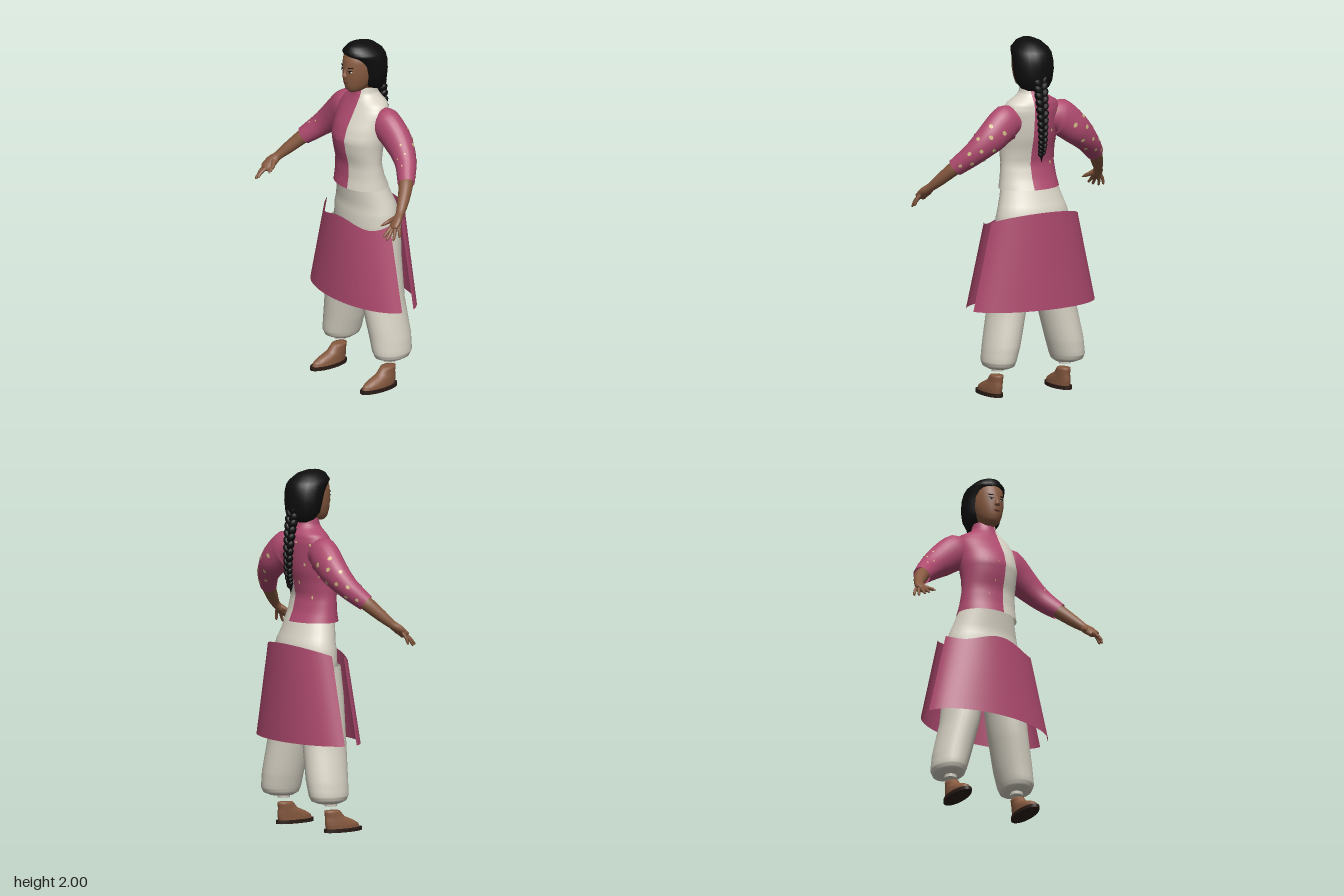
import * as THREE from 'three';
import { mergeVertices } from 'three/addons/utils/BufferGeometryUtils.js';

const mat = (name, color, side = THREE.FrontSide) => {
  const m = new THREE.MeshStandardMaterial({ color, side });
  m.name = name;
  return m;
};
const lerp = THREE.MathUtils.lerp;

// Surface from a rule fn(u, v) -> [x, y, z], smooth normals
function grid(fn, nu, nv) {
  const pos = [], idx = [];
  for (let j = 0; j <= nv; j++)
    for (let i = 0; i <= nu; i++) pos.push(...fn(i / nu, j / nv, 0));
  for (let j = 0; j < nv; j++)
    for (let i = 0; i < nu; i++) {
      const a = j * (nu + 1) + i, b = a + 1, c = a + nu + 1, d = c + 1;
      idx.push(a, b, c, b, d, c);
    }
  let g = new THREE.BufferGeometry();
  g.setAttribute('position', new THREE.Float32BufferAttribute(pos, 3));
  g.setIndex(idx);
  g = mergeVertices(g, 1e-5);
  g.computeVertexNormals();
  return g;
}

// Upright loft through rings [y, rx, zFront, zBack, cx]; angle runs from +x to the back
function loft(rings, a0 = () => 0, a1 = () => Math.PI * 2) {
  return (u, v, off = 0) => {
    const f = v * (rings.length - 1), i = Math.min(Math.floor(f), rings.length - 2), t = f - i;
    const [y, rx, zf, zb, cx] = [0, 1, 2, 3, 4].map(k => lerp(rings[i][k] ?? 0, rings[i + 1][k] ?? 0, t));
    const a = lerp(a0(rx), a1(rx), u);
    return [cx + (rx + off) * Math.cos(a), y, (zf + zb) / 2 - ((zf - zb) / 2 + off) * Math.sin(a)];
  };
}

// Limb along points [x, y, z, r, rz]; s mirrors it
function limb(pts, s = 1) {
  const curve = new THREE.CatmullRomCurve3(pts.map(p => new THREE.Vector3(p[0] * s, p[1], p[2])));
  const Z = new THREE.Vector3(0, 0, 1);
  return (u, v, off = 0) => {
    const f = v * (pts.length - 1), i = Math.min(Math.floor(f), pts.length - 2);
    const r = k => lerp(pts[i][k] ?? pts[i][3], pts[i + 1][k] ?? pts[i + 1][3], f - i) + off;
    const t = curve.getTangent(v);
    const n1 = t.clone().cross(Z).normalize(), n2 = t.clone().cross(n1);
    const a = u * Math.PI * 2;
    return curve.getPoint(v).addScaledVector(n1, r(3) * Math.cos(a)).addScaledVector(n2, r(4) * Math.sin(a)).toArray();
  };
}

export function createModel() {
  const model = new THREE.Group();
  const pink = mat('rose cloth', 0xae4a6e, THREE.DoubleSide);
  const cream = mat('cream cloth', 0xd9d4c6, THREE.DoubleSide);
  const skin = mat('skin', 0x875a40);
  const hairMat = mat('black hair', 0x0d0d0d);
  const sole = mat('dark leather', 0x2b1c16);
  const khaki = mat('straw print', 0xd2bd84, THREE.DoubleSide);
  const lip = mat('lips', 0x6c3a30);
  const white = mat('eye white', 0xcfc6bb);

  const add = (name, geo, m, parent = model) => {
    const mesh = new THREE.Mesh(geo, m);
    mesh.name = name;
    parent.add(mesh);
    return mesh;
  };
  // Printed patch lying just above a surface
  const spot = (fn, u, v, du, dv) =>
    add('printedSpot', grid((p, q) => {
      const a = p * Math.PI * 2;
      return fn(u + du * q * Math.cos(a), v + dv * q * Math.sin(a), 0.003);
    }, 8, 1), khaki);

  // Blouse in two colours, parted right of centre line
  const torso = [
    [1.16, .178, .09, -.172], [1.22, .168, .08, -.145], [1.3, .16, .078, -.125], [1.38, .163, .1, -.14],
    [1.45, .17, .112, -.16], [1.52, .17, .09, -.17], [1.6, .172, .045, -.175], [1.645, .15, .02, -.17],
    [1.68, .09, .005, -.15], [1.7, .07, 0, -.14], [1.735, .064, -.01, -.13]];
  const part = rx => Math.acos(.035 / rx);
  const pinkHalf = loft(torso, part, rx => Math.PI * 2 - part(rx));
  add('blouseRightHalf', grid(pinkHalf, 28, 30), pink);
  add('blouseLeftHalf', grid(loft(torso, rx => -part(rx), part), 24, 30), cream);
  for (const [u, v] of [[.12, .62], [.2, .45], [.28, .6], [.1, .3], [.24, .2], [.34, .36]]) spot(pinkHalf, u, v, .012, .014);
  for (const [u, v] of [[.8, .4], [.9, .25], [.85, .15], [.92, .4]]) spot(pinkHalf, u, v, .005, .005);

  // Baggy trousers
  add('trouserSeat', grid(loft([
    [.76, .04, -.04, -.12], [.8, .17, .04, -.19], [.9, .225, .06, -.215], [1.0, .22, .06, -.22],
    [1.05, .207, .055, -.212], [1.1, .19, .06, -.19], [1.18, .165, .07, -.16]]), 32, 12), cream);

  // Open-sided skirt: front and back panels
  const panel = back => (u, v) => {
    const gap = lerp(.2, .23, v);
    const a = lerp(gap, Math.PI - gap, u) + (back ? 0 : Math.PI);
    const out = Math.abs(Math.sin(a));
    const top = back ? .975 + .07 * out : .972 + .02 * Math.cos(4 * a);
    const cz = lerp(-.06, -.065, v), rz = lerp(.202, .176, v);
    return [lerp(.395, .282, v) * Math.cos(a), lerp(.5, top, v), cz - rz * Math.sin(a)];
  };
  add('skirtFront', grid(panel(false), 32, 6), pink);
  add('skirtBack', grid(panel(true), 32, 6), pink);

  for (const s of [1, -1]) {
    // Leg, cuff, foot and sandal
    add('trouserLeg', grid(loft([
      [.163, .03, -.05, -.11, .212 * s], [.165, .06, -.015, -.15, .214 * s], [.18, .083, .02, -.19, .218 * s],
      [.21, .094, .034, -.205, .218 * s], [.3, .102, .04, -.21, .2 * s], [.5, .105, .06, -.2, .157 * s],
      [.75, .112, .065, -.2, .125 * s], [.92, .11, .055, -.21, .11 * s]]), 24, 21), cream);
    const cuff = add('ankleCuff', new THREE.CylinderGeometry(.036, .034, .02, 20), cream);
    cuff.position.set(.215 * s, .157, -.07);
    add('foot', grid(loft([
      [.018, .042, .125, -.1, .218 * s], [.04, .042, .115, -.105, .218 * s], [.06, .04, .08, -.106, .217 * s],
      [.085, .036, .02, -.104, .215 * s], [.12, .034, -.012, -.108, .214 * s], [.123, .001, -.06, -.061, .214 * s]]), 20, 15), skin);
    const sandal = add('sandalSole', new THREE.CylinderGeometry(1, 1, .02, 24), sole);
    sandal.scale.set(.05, 1, .125);
    sandal.position.set(.22 * s, .01, .012);

    // Sleeve with print
    const sleeve = limb([
      [.1, 1.55, -.085, .07, .06], [.17, 1.54, -.085, .103, .078], [.27, 1.465, -.09, .088, .075],
      [.36, 1.385, -.065, .066, .06], [.447, 1.3, 0, .05, .046]], s);
    add('sleeve', grid(sleeve, 24, 20), pink);
    const spots = [[.25, .4], [.32, .52], [.18, .58], [.28, .68], [.36, .78], [.22, .82], [.3, .92], [.42, .62], [.4, .44], [.12, .72]];
    for (const [u, v] of spots) spot(sleeve, s > 0 ? u : .5 - u, v, .026, .02);
    for (const [u, v] of [[.6, .6], [.7, .75], [.65, .85], [.58, .72]]) spot(sleeve, s > 0 ? u : .5 - u, v, .015, .012);

    // Forearm and hand
    add('forearm', grid(limb([
      [.41, 1.335, -.03, .036], [.45, 1.295, .005, .04], [.5, 1.23, .065, .033], [.535, 1.18, .115, .024],
      [.55, 1.15, .15, .036, .022], [.56, 1.118, .185, .034, .018], [.565, 1.105, .195, .004]], s), 16, 24), skin);
    const fingers = [
      [.575, 1.135, .16, .605, 1.07, .175], [.572, 1.125, .178, .597, 1.058, .215],
      [.56, 1.12, .185, .575, 1.062, .245], [.548, 1.125, .182, .55, 1.075, .25]];
    for (const [x, y, z, X, Y, W] of fingers)
      add('finger', grid(limb([[x, y, z, .011], [(x + X) / 2 + .003, (y + Y) / 2 + .004, (z + W) / 2, .0095],
        [lerp(x, X, .9), lerp(y, Y, .9), lerp(z, W, .9), .007], [X, Y, W, .001]], s), 8, 9), skin);
    add('thumb', grid(limb([[.54, 1.165, .14, .016], [.51, 1.14, .17, .012], [.497, 1.125, .2, .009], [.489, 1.115, .218, .001]], s), 8, 9), skin);

    // Eye and brow, thin and slightly slanted
    const plate = (name, m, x, y, z, w, h, tilt = 0) => {
      const p = add(name, new THREE.SphereGeometry(1, 12, 8), m);
      p.scale.set(w, h, .004);
      p.position.set(x * s, y, z);
      p.rotation.set(0, .45 * s, tilt * s);
    };
    plate('eyeWhite', white, .034, 1.848, .0635, .014, .006);
    plate('iris', hairMat, .033, 1.848, .066, .006, .006);
    plate('eyelid', hairMat, .034, 1.854, .0645, .015, .0025, .1);
    plate('brow', hairMat, .036, 1.872, .0625, .018, .0035, .15);
  }

  // Neck and head
  const neck = add('neck', new THREE.CylinderGeometry(.05, .056, .14, 20), skin);
  neck.position.set(0, 1.72, -.065);
  add('head', grid(loft([
    [1.713, .004, .01, -.02], [1.718, .03, .042, -.05], [1.735, .052, .058, -.08], [1.77, .07, .068, -.12],
    [1.82, .083, .072, -.14], [1.87, .087, .072, -.15], [1.92, .083, .064, -.14], [1.97, .05, .03, -.1]]), 28, 14), skin);
  add('nose', grid(loft([
    [1.806, .002, .07, .05], [1.81, .016, .084, .05], [1.82, .015, .091, .05],
    [1.84, .009, .081, .05], [1.868, .006, .072, .05]]), 12, 8), skin);
  const mouth = add('mouth', new THREE.SphereGeometry(1, 12, 8), lip);
  mouth.scale.set(.021, .007, .006);
  mouth.position.set(0, 1.782, .069);

  // Hair swept back into a braid
  add('hair', grid(loft([
    [1.715, .05, -.08, -.15], [1.73, .085, -.05, -.17], [1.77, .107, -.01, -.19], [1.83, .118, .005, -.195],
    [1.88, .117, .022, -.195], [1.92, .113, .045, -.186], [1.945, .103, .066, -.17],
    [1.98, .066, .045, -.125], [1.996, .03, .01, -.07], [2.0, .002, -.02, -.024]]), 20, 18), hairMat);
  const braid = new THREE.CatmullRomCurve3([[0, 1.78, -.165], [0, 1.66, -.188], [0, 1.53, -.2], [0, 1.42, -.198], [0, 1.35, -.185]]
    .map(p => new THREE.Vector3(...p)));
  const n = 13;
  for (let i = 0; i < n; i++)
    for (const s of [1, -1]) {
      const k = 1 - .55 * i / n;
      const lock = add('braidLock', new THREE.SphereGeometry(1, 10, 8), hairMat);
      lock.scale.set(.024 * k, .036 * k, .03 * k);
      lock.position.copy(braid.getPoint((i + (s > 0 ? .5 : 0)) / n));
      lock.position.x += s * .017 * k;
      lock.rotation.z = -s * .6;
    }
  const tail = add('braidTail', new THREE.ConeGeometry(.014, .06, 8), hairMat);
  tail.position.set(0, 1.345, -.183);
  tail.rotation.x = Math.PI;

  return model;
}
